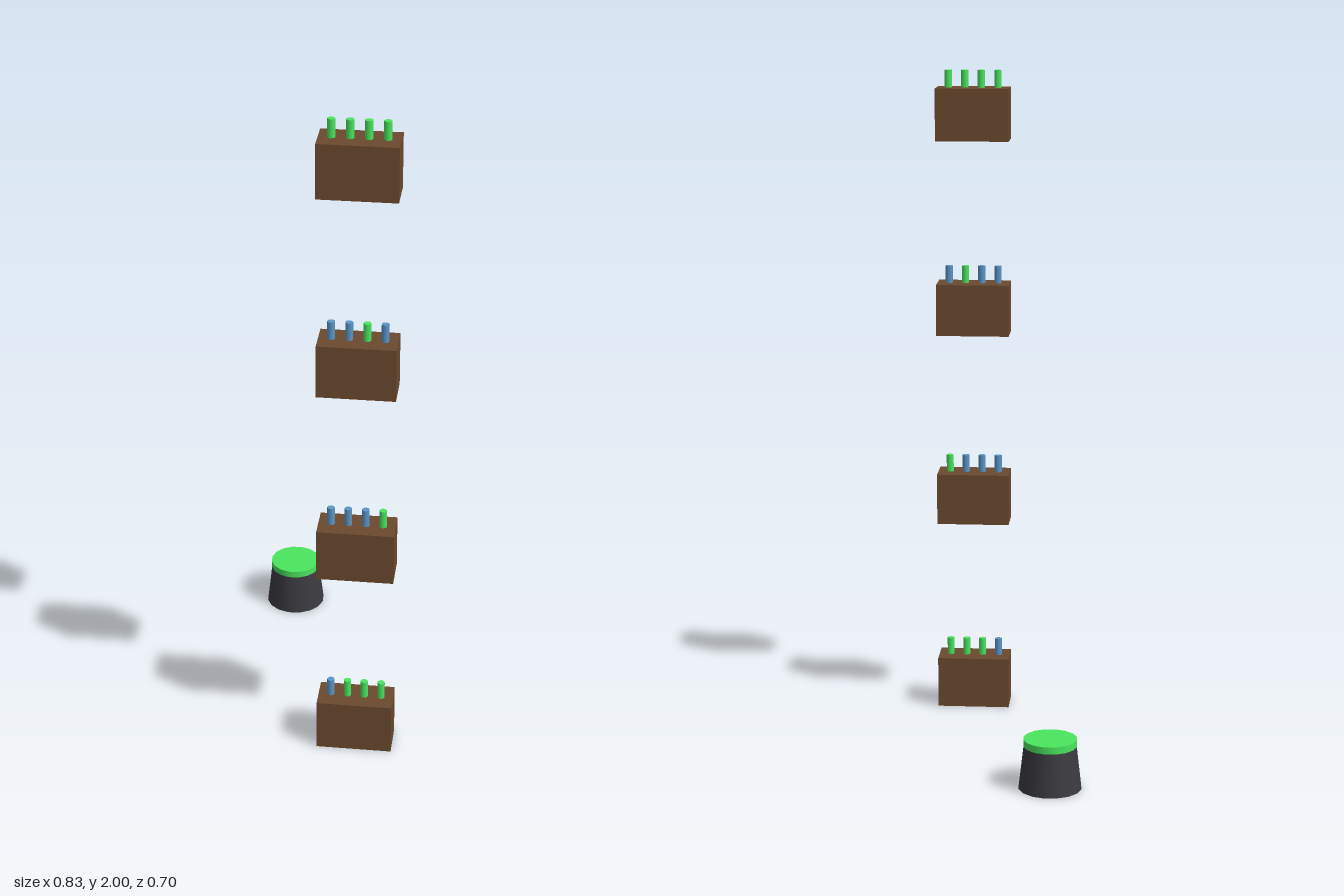
import * as THREE from 'three';

const paint = (name, color) => {
  const m = new THREE.MeshStandardMaterial({ color });
  m.name = name;
  return m;
};

function add(parent, name, geometry, material, x, y, z) {
  const mesh = new THREE.Mesh(geometry, material);
  mesh.name = name;
  mesh.position.set(x, y, z);
  parent.add(mesh);
  return mesh;
}

export function createModel() {
  const brown = paint('brown', 0x6b4a2f);
  const green = paint('green', 0x4ae65e);
  const blue = paint('blue', 0x5b96c8);
  const charcoal = paint('charcoal', 0x3a3a40);

  const model = new THREE.Group();
  model.name = 'model';

  // Four floating boxes, one above another, each with a row of pegs
  const boxH = 0.158, pegTop = 0.211, spacing = 0.5963;
  const boxGeo = new THREE.BoxGeometry(0.223, boxH, 0.109);
  const pegH = pegTop - boxH + 0.01;
  const pegGeo = new THREE.CylinderGeometry(0.011, 0.011, pegH, 8);
  const rows = [
    [blue, green, green, green],
    [blue, blue, blue, green],
    [blue, blue, green, blue],
    [green, green, green, green],
  ];
  rows.forEach((row, level) => {
    const block = new THREE.Group();
    block.name = 'pegBlock' + (level + 1);
    block.position.set(0.291, level * spacing, 0.244);
    block.rotation.y = Math.PI / 6;
    add(block, 'box', boxGeo, brown, 0, boxH / 2, 0);
    row.forEach((material, i) =>
      add(block, 'peg', pegGeo, material, (i - 1.5) * 0.0502, pegTop - pegH / 2, 0));
    model.add(block);
  });

  // Tapered pedestal with a coloured cap
  const pedestal = new THREE.Group();
  pedestal.name = 'pedestal';
  pedestal.position.set(-0.323, 0, -0.258);
  add(pedestal, 'pedestalBody', new THREE.CylinderGeometry(0.077, 0.092, 0.129, 16), charcoal, 0, 0.0645, 0);
  add(pedestal, 'pedestalCap', new THREE.CylinderGeometry(0.078, 0.078, 0.021, 16), green, 0, 0.1375, 0);
  model.add(pedestal);

  return model;
}
